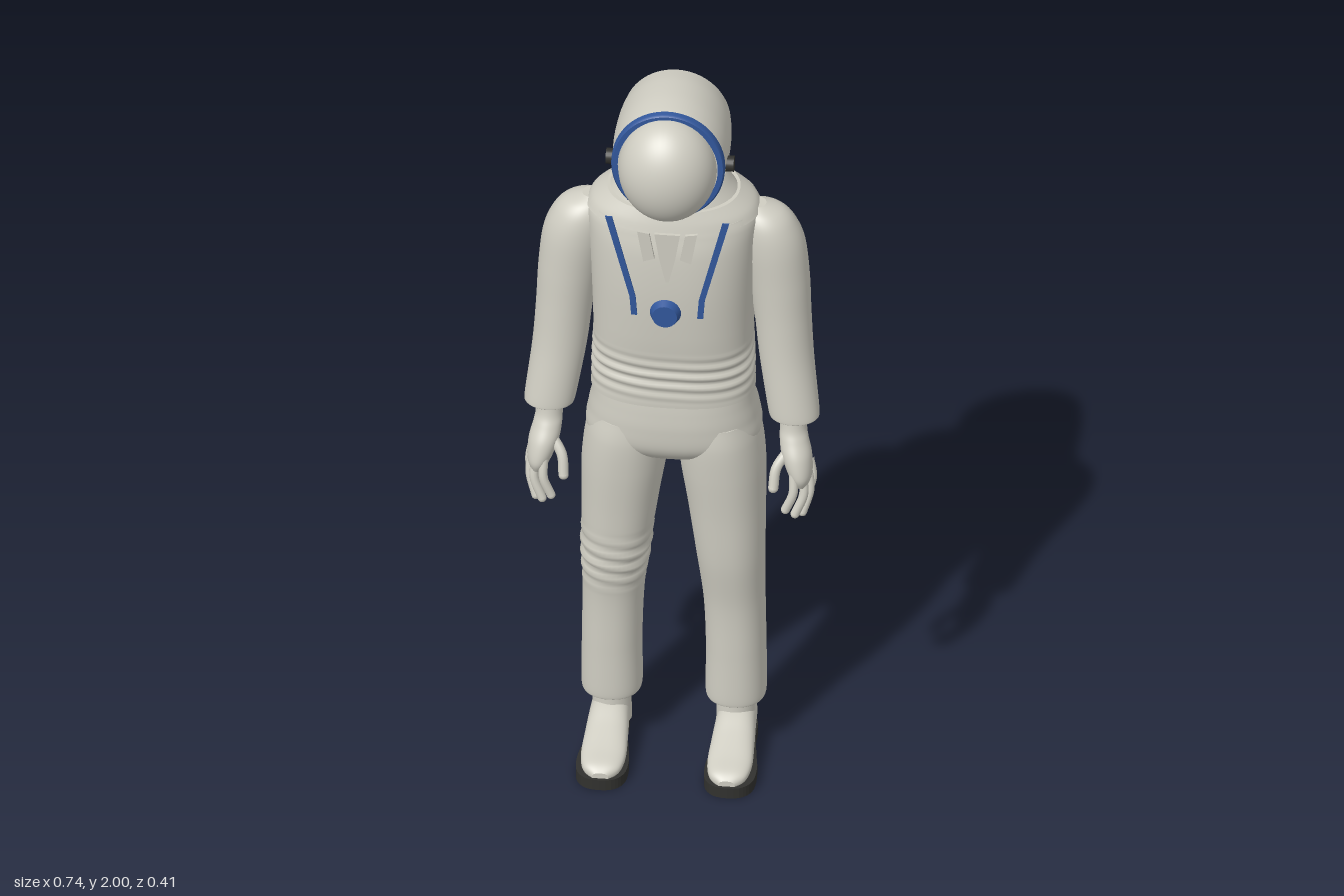
import * as THREE from 'three';

const mat = (name, color) => {
  const m = new THREE.MeshStandardMaterial({ color });
  m.name = name;
  return m;
};

// Smooth value through the sections at parameter t (in section units)
function spline(rows, t) {
  const i = Math.min(Math.floor(t), rows.length - 2), f = t - i;
  const r = (k) => rows[Math.max(0, Math.min(rows.length - 1, k))];
  const [a, b, c, d] = [r(i - 1), r(i), r(i + 1), r(i + 2)];
  return b.map((_, k) => 0.5 * (2 * b[k] + (c[k] - a[k]) * f
    + (2 * a[k] - 5 * b[k] + 4 * c[k] - d[k]) * f * f
    + (3 * b[k] - a[k] - 3 * c[k] + d[k]) * f * f * f));
}

// Closed skin through rising sections [y, cx, cz, rx, rz]; power squares the outline
function loft(rows, { power = 2, steps = 6, sides = 48, fold = () => 0 } = {}) {
  const pos = [], idx = [], n = (rows.length - 1) * steps;
  const sp = (v) => Math.sign(v) * Math.abs(v) ** (2 / power);
  for (let i = 0; i <= n; i++) {
    const [y, cx, cz, rx, rz] = spline(rows, i / steps);
    for (let j = 0; j < sides; j++) {
      const a = (j / sides) * Math.PI * 2, f = fold(y, a);
      pos.push(cx + (rx + f) * sp(Math.cos(a)), y, cz + (rz + f) * sp(Math.sin(a)));
    }
  }
  for (let i = 0; i < n; i++) for (let j = 0; j < sides; j++) {
    const a = i * sides + j, b = i * sides + (j + 1) % sides;
    idx.push(a, a + sides, b, b, a + sides, b + sides);
  }
  // End caps with their own vertices so the hems stay sharp
  for (const end of [0, n]) {
    const base = pos.length / 3, row = rows[end ? rows.length - 1 : 0];
    for (let j = 0; j < sides; j++) {
      const k = (end * sides + j) * 3;
      pos.push(pos[k], pos[k + 1], pos[k + 2]);
    }
    pos.push(row[1], row[0], row[2]);
    for (let j = 0; j < sides; j++) {
      const a = base + j, b = base + (j + 1) % sides, c = base + sides;
      if (end) idx.push(a, c, b); else idx.push(a, b, c);
    }
  }
  const g = new THREE.BufferGeometry();
  g.setAttribute('position', new THREE.Float32BufferAttribute(pos, 3));
  g.setIndex(idx);
  g.computeVertexNormals();
  return g;
}

// Cloth creases between two heights
const creases = (lo, hi, size, pitch) => (y, a) => y < lo || y > hi ? 0
  : size * Math.sin(Math.PI * (y - lo) / (hi - lo)) * Math.sin((y / pitch) * Math.PI * 2 + Math.sin(a * 2));

export function createModel() {
  const suit = mat('suit grey', 0xcfcdc2);
  const blue = mat('trim blue', 0x32579b);
  const dark = mat('sole dark', 0x31312e);
  const model = new THREE.Group();
  model.name = 'astronaut';
  const add = (name, geo, material, parent = model) => {
    const m = new THREE.Mesh(geo, material);
    m.name = name;
    parent.add(m);
    return m;
  };

  // Helmet: turned profiles lying along z, slightly taller than wide
  const helmet = new THREE.Group();
  helmet.name = 'helmet';
  helmet.position.y = 1.843;
  model.add(helmet);
  const turned = (pts) => new THREE.LatheGeometry(pts.map((p) => new THREE.Vector2(...p)), 64)
    .scale(1, 1, 1.085).rotateX(Math.PI / 2);
  const shell = new THREE.SplineCurve([[0.134, -0.122], [0.142, -0.07], [0.145, 0],
    [0.142, 0.05], [0.137, 0.08]].map((p) => new THREE.Vector2(...p)));
  add('helmetShell', turned(shell.getPoints(20).map((p) => [p.x, p.y])), suit, helmet);
  add('helmetBack', turned([[0, -0.174], [0.134, -0.122]]), suit, helmet);
  add('helmetFace', turned([[0.137, 0.088], [0, 0.088]]), suit, helmet);
  const ring = new THREE.LatheGeometry([[0.125, 0.074], [0.142, 0.074], [0.142, 0.074], [0.142, 0.088],
    [0.138, 0.093], [0.138, 0.093], [0.125, 0.093]].map((p) => new THREE.Vector2(...p)), 64)
    .scale(1, 1, 1.105).rotateX(Math.PI / 2);
  add('helmetRing', ring, blue, helmet);
  add('visor', new THREE.SphereGeometry(1, 48, 24, 0, Math.PI * 2, 0, Math.PI / 2)
    .rotateX(Math.PI / 2).scale(0.123, 0.145, 0.111).translate(0, 0, 0.094), suit, helmet);
  for (const s of [1, -1]) {
    add('helmetKnob', new THREE.CylinderGeometry(0.02, 0.02, 0.024, 20)
      .rotateZ(Math.PI / 2).translate(s * 0.148, -0.018, 0.035), dark, helmet);
  }

  // Jacket, yoke and neck
  add('jacket', loft([
    [1.1, 0, -0.04, 0.205, 0.127], [1.2, 0, -0.042, 0.2, 0.132], [1.32, 0, -0.046, 0.2, 0.147],
    [1.45, 0, -0.049, 0.205, 0.155], [1.56, 0, -0.052, 0.212, 0.153], [1.62, 0, -0.055, 0.215, 0.145],
    [1.65, 0, -0.055, 0.205, 0.137],
  ], { power: 2.5, steps: 20, sides: 72, fold: creases(1.11, 1.27, 0.004, 0.033) }), suit);
  add('collarYoke', loft([
    [1.635, 0, -0.053, 0.218, 0.145], [1.66, 0, -0.053, 0.203, 0.138],
    [1.69, 0, -0.05, 0.166, 0.125],
  ], { power: 2.2 }), suit);
  add('neckRing', loft([
    [1.68, 0, -0.05, 0.166, 0.125], [1.71, 0, -0.052, 0.145, 0.116], [1.737, 0, -0.055, 0.13, 0.107],
  ]), suit);

  // Neck flaps and zip on the chest
  const flap = (name, pts) => add(name, new THREE.ExtrudeGeometry(
    new THREE.Shape(pts.map((p) => new THREE.Vector2(...p))), { depth: 0.008, bevelEnabled: false })
    .translate(0, 0, 0.099), suit);
  for (const s of [1, -1]) {
    flap('neckFlap', [[0.045, 1.645], [0.075, 1.65], [0.06, 1.56], [0.032, 1.57]].map(([x, y]) => [s * x, y]));
  }
  flap('zipFlap', [[-0.032, 1.645], [0.032, 1.645], [0.02, 1.57], [0.004, 1.5], [-0.004, 1.5], [-0.02, 1.57]]);

  // Harness straps and round chest valve
  for (const s of [1, -1]) {
    const pts = [[0.138, 1.69], [0.155, 1.69], [0.094, 1.45], [0.09, 1.395], [0.075, 1.395], [0.079, 1.45]];
    add('strap', new THREE.ExtrudeGeometry(
      new THREE.Shape(pts.map(([x, y]) => new THREE.Vector2(s * x, y))), { depth: 0.004, bevelEnabled: false })
      .translate(0, 0, 0.103), blue);
  }
  add('chestValve', new THREE.CylinderGeometry(0.031, 0.039, 0.02, 32)
    .rotateX(Math.PI / 2).translate(0, 1.435, 0.155), blue);

  // Trouser seat
  add('trouserSeat', loft([
    [0.895, 0, -0.05, 0.06, 0.06], [0.92, 0, -0.053, 0.16, 0.105], [0.96, 0, -0.055, 0.216, 0.135],
    [1.02, 0, -0.055, 0.213, 0.142], [1.07, 0, -0.045, 0.203, 0.13], [1.11, 0, -0.04, 0.198, 0.121],
  ], { power: 2.4, steps: 8 }), suit);

  for (const s of [1, -1]) {
    const side = new THREE.Group();
    side.name = s > 0 ? 'leftLimbs' : 'rightLimbs';
    model.add(side);
    const limb = (rows) => rows.map(([y, x, ...rest]) => [y, s * x, ...rest]);

    // Leg, with knee creases on the right one
    add('leg', loft(limb([
      [0.15, 0.155, -0.055, 0.07, 0.076], [0.165, 0.155, -0.055, 0.076, 0.081],
      [0.3, 0.155, -0.055, 0.075, 0.083], [0.45, 0.151, -0.052, 0.077, 0.086],
      [0.6, 0.143, -0.04, 0.086, 0.095], [0.75, 0.133, -0.045, 0.097, 0.11],
      [0.87, 0.123, -0.052, 0.106, 0.126], [0.96, 0.115, -0.055, 0.103, 0.132],
      [1.02, 0.11, -0.055, 0.09, 0.125],
    ]), { power: 2.2, steps: 14, fold: s < 0 ? creases(0.48, 0.68, 0.005, 0.04) : undefined }), suit, side);

    // Shoe: ankle, upper lofted along z, flat sole
    add('ankle', new THREE.CylinderGeometry(0.047, 0.05, 0.12, 32).translate(s * 0.155, 0.11, -0.052), suit, side);
    const upper = [[-0.136, 0.07, 0.015], [-0.125, 0.095, 0.034], [-0.09, 0.115, 0.046], [-0.02, 0.118, 0.05],
      [0.05, 0.094, 0.054], [0.12, 0.072, 0.056], [0.17, 0.06, 0.046], [0.194, 0.045, 0.02]]
      .map(([z, top, w]) => [z, s * 0.158, -(top + 0.022) / 2, w, (top - 0.022) / 2]);
    add('shoe', loft(upper, { power: 2.5 }).rotateX(Math.PI / 2), suit, side);
    const half = [[0.03, -0.122], [0.045, -0.09], [0.047, -0.03], [0.057, 0.05], [0.065, 0.11],
      [0.058, 0.17], [0.03, 0.198]];
    const outline = new THREE.CatmullRomCurve3([...half, ...half.map(([x, z]) => [-x, z]).reverse()]
      .map(([x, z]) => new THREE.Vector3(x, z, 0)), true).getPoints(56);
    add('sole', new THREE.ExtrudeGeometry(new THREE.Shape(outline.slice(0, -1).map((p) => new THREE.Vector2(p.x, p.y))),
      { depth: 0.03, bevelEnabled: false }).rotateX(Math.PI / 2).translate(s * 0.16, 0.03, 0), dark, side);

    // Sleeve with rounded shoulder
    add('sleeve', loft(limb([
      [1.045, 0.306, -0.004, 0.06, 0.052], [1.06, 0.304, -0.007, 0.064, 0.056],
      [1.2, 0.284, -0.034, 0.068, 0.066], [1.32, 0.273, -0.047, 0.071, 0.072],
      [1.43, 0.262, -0.054, 0.077, 0.077], [1.53, 0.247, -0.058, 0.081, 0.079],
      [1.59, 0.233, -0.058, 0.073, 0.07], [1.625, 0.22, -0.058, 0.057, 0.052],
      [1.645, 0.205, -0.058, 0.025, 0.025],
    ]), { steps: 8 }), suit, side);

    // Glove: palm plus bent fingers
    add('palm', loft(limb([
      [0.87, 0.33, 0.045, 0.016, 0.03], [0.9, 0.326, 0.042, 0.03, 0.045], [0.95, 0.316, 0.033, 0.038, 0.045],
      [0.99, 0.308, 0.02, 0.036, 0.037], [1.02, 0.305, 0.008, 0.034, 0.035], [1.07, 0.304, -0.002, 0.038, 0.038],
    ])), suit, side);
    const fingers = [
      [[0.345, 0.92, 0.005], [0.353, 0.865, 0.018], [0.332, 0.815, 0.042]],
      [[0.342, 0.91, 0.028], [0.35, 0.85, 0.042], [0.333, 0.79, 0.06]],
      [[0.33, 0.91, 0.052], [0.337, 0.85, 0.066], [0.316, 0.793, 0.075]],
      [[0.312, 0.91, 0.07], [0.312, 0.86, 0.082], [0.293, 0.81, 0.083]],
      [[0.295, 0.96, 0.04], [0.268, 0.92, 0.062], [0.262, 0.87, 0.078]],
    ];
    fingers.forEach((pts, i) => {
      const path = new THREE.CatmullRomCurve3(pts.map(([x, y, z]) => new THREE.Vector3(s * x, y, z)));
      const name = i < 4 ? 'finger' : 'thumb', r = i < 4 ? 0.0115 : 0.013;
      add(name, new THREE.TubeGeometry(path, 12, r, 12), suit, side);
      const tip = path.getPoint(1);
      add(name + 'Tip', new THREE.SphereGeometry(r, 12, 8).translate(tip.x, tip.y, tip.z), suit, side);
    });
  }
  return model;
}
